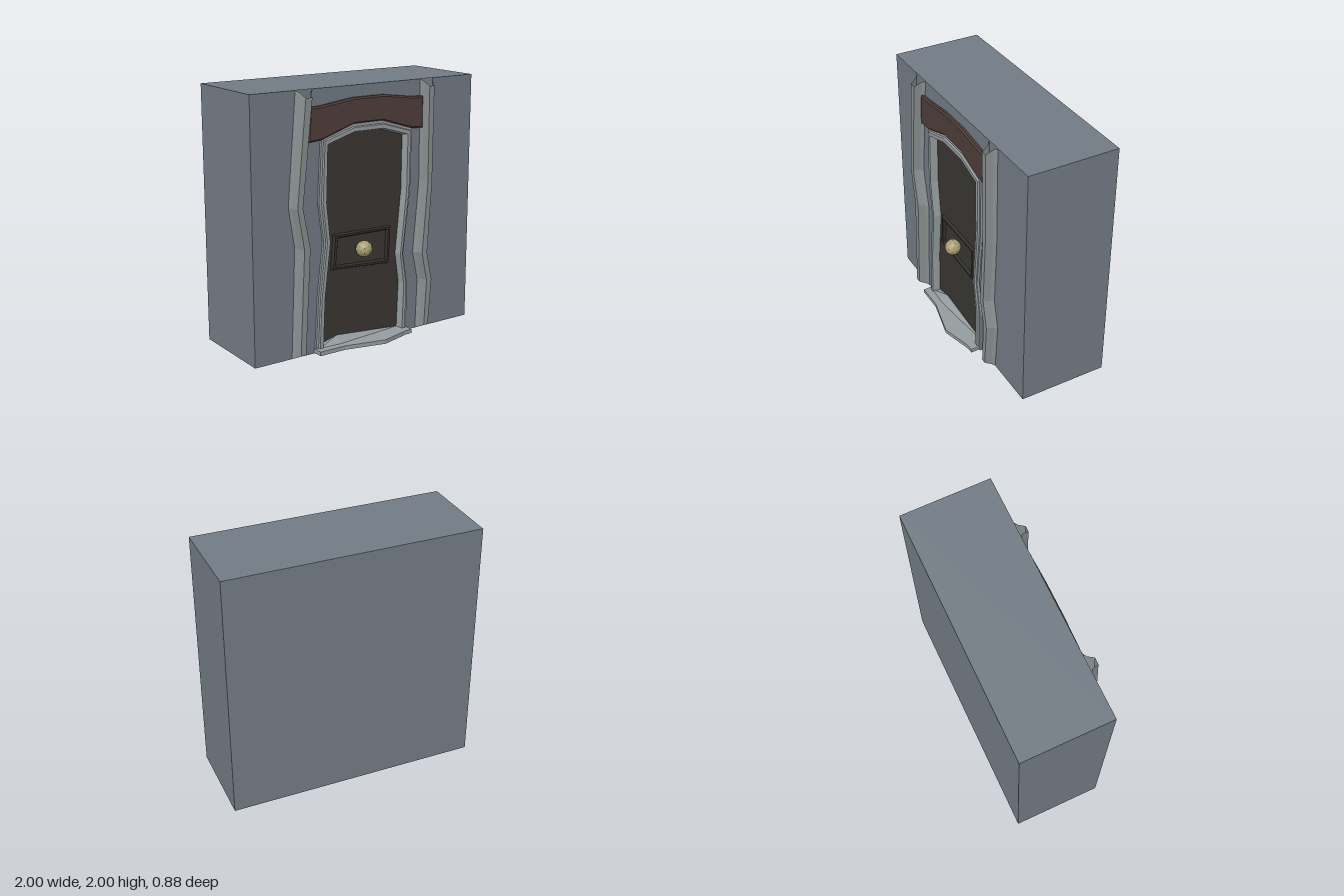
import * as THREE from 'three';

const WALL_Z = 0.275, DOOR_Z = 0.25;

const mat = (color) => new THREE.MeshStandardMaterial({ color, flatShading: true, side: THREE.DoubleSide });
const stone = mat(0x727b84), trim = mat(0x949c9f), pillarStone = mat(0x888e90);
const darkWood = mat(0x393633), plateWood = mat(0x33302f), brownWood = mat(0x4e3d39), brass = mat(0xa89f70);

function add(parent, name, geometry, material) {
  const mesh = new THREE.Mesh(geometry, material);
  mesh.name = name;
  parent.add(mesh);
  return mesh;
}

// Skins a list of rows of [x, y, z] points with flat quads
function loft(rows, closed = false) {
  const pos = [], n = rows[0].length;
  for (let r = 0; r < rows.length - 1; r++) {
    for (let c = 0; c < (closed ? n : n - 1); c++) {
      const k = (c + 1) % n;
      const a = rows[r][c], b = rows[r][k], d = rows[r + 1][c], e = rows[r + 1][k];
      pos.push(...a, ...b, ...e, ...a, ...e, ...d);
    }
  }
  const g = new THREE.BufferGeometry();
  g.setAttribute('position', new THREE.Float32BufferAttribute(pos, 3));
  g.computeVertexNormals();
  return g;
}

const shapeOf = (pts) => new THREE.Shape(pts.map(([x, y]) => new THREE.Vector2(x, y)));

// Moulding between two outlines: profile entries are [blend from outer to inner, z]
const moulding = (outer, inner, profile, closed) => loft(profile.map(([t, z]) =>
  outer.map(([x, y], i) => [x + (inner[i][0] - x) * t, y + (inner[i][1] - y) * t, z])), closed);

// Crooked pillars, bottom to top: [y, left edge, right edge]
const pillars = {
  rightPillar: [[0, -0.685, -0.57], [0.85, -0.65, -0.52], [1.16, -0.7, -0.585], [2, -0.63, -0.49]],
  leftPillar: [[0, 0.475, 0.58], [0.41, 0.49, 0.615], [0.64, 0.44, 0.565], [1.2, 0.49, 0.595], [2, 0.487, 0.605]],
};
// Coved cross-section: [fraction across, height off the wall]
const pillarProfile = [[0, 0], [0.16, 0.022], [0.29, 0.075], [0.68, 0.075], [0.82, 0.022], [1, 0]];

function pillarGeometry(stations) {
  return loft(stations.map(([y, x0, x1]) => pillarProfile.map(([t, h]) => {
    const slope = y === 0 ? 0.5 * h : y === 2 ? -0.65 * h : 0; // chamfered ends
    return [x0 + (x1 - x0) * t, y + slope, WALL_Z + h];
  })));
}

// Door surround outlines, from the foot on +x over the top to the foot on -x
const frameOuter = [[0.37, 0], [0.37, 0.41], [0.33, 0.65], [0.39, 1.16], [0.4, 1.635], [0.125, 1.72],
  [-0.145, 1.72], [-0.425, 1.635], [-0.45, 1.16], [-0.41, 0.86], [-0.46, 0.43], [-0.485, 0]];
const frameInner = [[0.305, 0.03], [0.32, 0.41], [0.285, 0.65], [0.335, 1.16], [0.34, 1.585], [0.12, 1.65],
  [-0.145, 1.65], [-0.37, 1.585], [-0.38, 1.16], [-0.35, 0.85], [-0.4, 0.43], [-0.415, 0.03]];

export function createModel() {
  const model = new THREE.Group();
  model.name = 'doorInWall';

  // Wall block, open underneath
  const walls = [[1, WALL_Z], [1, -0.44], [-1, -0.44], [-1, WALL_Z]];
  add(model, 'sideAndBackWalls', loft([0, 2].map((y) => walls.map(([x, z]) => [x, y, z]))), stone);
  add(model, 'wallTop', loft([WALL_Z, -0.44].map((z) => [[-1, 2, z], [1, 2, z]])), stone);

  // Front wall pieces, leaving gaps behind the pillars and doorway
  const edge = (name, side) => pillars[name].map((s) => [s[side], s[0]]);
  const pieces = [
    [[-1, 2], [-1, 0], ...edge('rightPillar', 1)],
    [...edge('rightPillar', 2), ...edge('leftPillar', 1).reverse(), ...frameOuter],
    [[1, 2], [1, 0], ...edge('leftPillar', 2)],
  ];
  for (const pts of pieces) {
    add(model, 'frontWall', new THREE.ShapeGeometry(shapeOf(pts)).translate(0, 0, WALL_Z), stone);
  }

  for (const [name, stations] of Object.entries(pillars)) {
    add(model, name, pillarGeometry(stations), pillarStone);
  }

  // Doorway: stepped surround and recessed door
  add(model, 'doorFrame', moulding(frameOuter, frameInner,
    [[0, WALL_Z], [0, 0.295], [0.3, 0.295], [0.38, 0.31], [0.82, 0.31], [1, DOOR_Z]]), trim);
  add(model, 'door', new THREE.ShapeGeometry(shapeOf(frameInner)).translate(0, 0, DOOR_Z), darkWood);

  // Raised border and knob
  const plateOuter = [[-0.32, 0.62], [0.215, 0.585], [0.23, 0.885], [-0.3, 0.895]];
  const plateInner = [[-0.275, 0.65], [0.18, 0.625], [0.19, 0.855], [-0.255, 0.86]];
  add(model, 'doorPanelBorder', moulding(plateOuter, plateInner,
    [[0, DOOR_Z], [0.25, 0.272], [0.7, 0.272], [1, DOOR_Z + 0.003]], true), plateWood);
  const knob = add(model, 'doorKnob', new THREE.IcosahedronGeometry(0.065, 1), brass);
  knob.position.set(-0.05, 0.755, 0.302);

  // Bowed lintel board
  const lintel = [[-0.53, 1.63], [-0.42, 1.64], [-0.145, 1.73], [0.12, 1.73], [0.395, 1.645], [0.49, 1.64],
    [0.49, 1.86], [0.385, 1.865], [0.13, 1.9], [-0.14, 1.9], [-0.42, 1.865], [-0.515, 1.86]];
  add(model, 'lintel', new THREE.ExtrudeGeometry(shapeOf(lintel), {
    depth: 0.018, bevelEnabled: true, bevelSize: 0.012, bevelThickness: 0.012, bevelSegments: 1,
  }).translate(0, 0, WALL_Z), brownWood);

  // Doorstep with a pointed front, and a sloping ramp up to the door
  const step = [[-0.49, DOOR_Z], [-0.49, 0.365], [-0.27, 0.365], [0.06, 0.44], [0.3, 0.375], [0.365, 0.37], [0.365, DOOR_Z]];
  add(model, 'doorstep', new THREE.ExtrudeGeometry(shapeOf(step), { depth: 0.032, bevelEnabled: false })
    .rotateX(Math.PI / 2).translate(0, 0.04, 0), trim);
  add(model, 'threshold', loft([
    [[-0.45, 0.04, 0.3], [-0.27, 0.04, 0.31], [0.34, 0.04, 0.3]],
    [[-0.42, 0.05, DOOR_Z], [-0.27, 0.093, DOOR_Z + 0.004], [0.31, 0.042, DOOR_Z]],
  ]), trim);

  return model;
}
